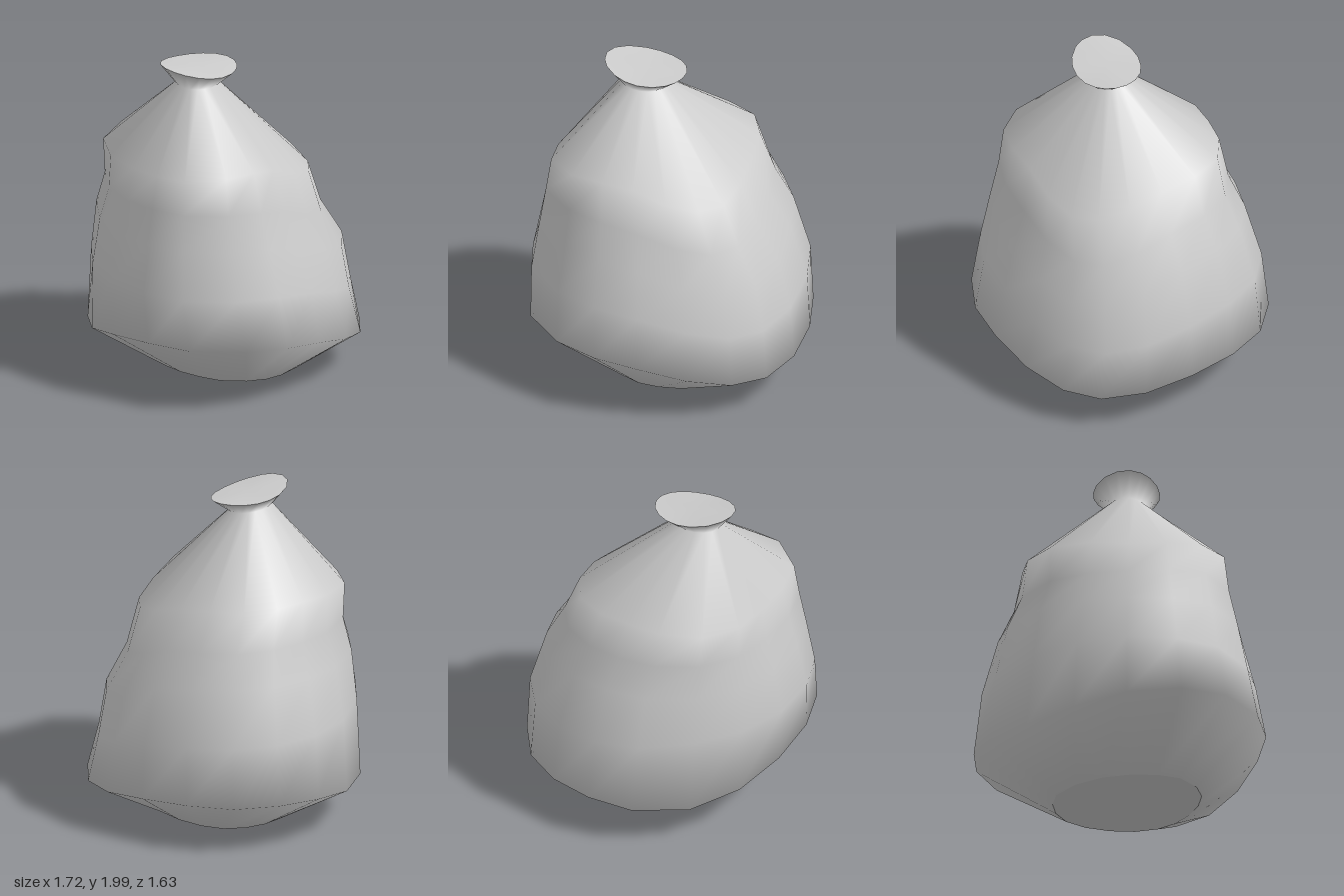
import * as THREE from 'three';

// Irregular outline shared by the body rings, clockwise seen from above, as [x, z]
const OUTLINE = [
  [-0.12, -0.81], [0.18, -0.82], [0.44, -0.74], [0.62, -0.58], [0.76, -0.34], [0.84, -0.05],
  [0.85, 0.22], [0.76, 0.48], [0.54, 0.73], [0.27, 0.815], [-0.05, 0.81], [-0.35, 0.7],
  [-0.6, 0.5], [-0.8, 0.22], [-0.855, -0.05], [-0.81, -0.32], [-0.66, -0.56], [-0.42, -0.72],
].map(([x, z]) => [x / 0.853, z / 0.818]);
const N = OUTLINE.length;

// Directions of the sagging corners
const BACK_LEFT = -0.9, LEFT = -0.4, FRONT_LEFT = 0.8, FRONT_RIGHT = 2.4;

// Cross-sections from the bottom up: height, x and z ranges, tilt along x and z,
// lift of the two sides, squareness, and bulges as [direction, outward, upward]
const RINGS = [
  { y: 0.035, x: [-0.37, 0.495], z: [-0.41, 0.32], tilt: [0.02, 0.018],
    bulges: [[FRONT_RIGHT, 0.14, -0.015]] },
  { y: 0.365, x: [-0.85, 0.852], z: [-0.815, 0.785], tilt: [0.025, 0.045],
    bulges: [[BACK_LEFT, 0, -0.12], [FRONT_RIGHT, 0.03, -0.12], [FRONT_LEFT, 0.025, 0]] },
  { y: 0.7, x: [-0.81, 0.8], z: [-0.805, 0.815], tilt: [0, 0.03],
    bulges: [[BACK_LEFT, -0.04, -0.17]] },
  { y: 1.0, x: [-0.71, 0.71], z: [-0.695, 0.745], tilt: [-0.03, 0], square: 0.02,
    bulges: [[BACK_LEFT, 0.02, -0.2], [FRONT_RIGHT, 0.045, 0], [FRONT_LEFT, 0.02, 0.04]] },
  { y: 1.2, x: [-0.62, 0.635], z: [-0.575, 0.69], tilt: [-0.02, 0], square: 0.05,
    bulges: [[BACK_LEFT, -0.03, -0.18], [FRONT_RIGHT, 0.04, 0], [FRONT_LEFT, 0.03, 0.05]] },
  { y: 1.42, x: [-0.57, 0.6], z: [-0.46, 0.65], tilt: [0, -0.015], lift: 0.035, square: 0.1,
    bulges: [[BACK_LEFT, -0.02, -0.16], [LEFT, -0.05, -0.02], [FRONT_RIGHT, 0.08, 0], [FRONT_LEFT, 0, 0.02]] },
  { y: 1.855, x: [-0.08, 0.14], z: [0.05, 0.33], tilt: [-0.01, 0.005], round: true },
  { y: 1.97, x: [-0.172, 0.225], z: [-0.075, 0.43], tilt: [-0.015, 0.025], lift: -0.025, round: true },
];

function ringPoints({ y, x, z, tilt, lift = 0, square = 0, bulges = [], round = false }) {
  return OUTLINE.map(([u0, v0]) => {
    const a = Math.atan2(v0, u0);
    const [u, v] = round ? [Math.cos(a), Math.sin(a)] : [u0, v0];
    let k = 1 + square * Math.sin(2 * a) ** 2;
    let h = y + tilt[0] * u + tilt[1] * v + lift * Math.cos(a) ** 2;
    for (const [direction, out, up] of bulges) {
      const w = Math.max(0, Math.cos(a - direction)) ** 4;
      k += out * w;
      h += up * w;
    }
    return [
      (x[0] + x[1]) / 2 + (x[1] - x[0]) / 2 * u * k,
      h,
      (z[0] + z[1]) / 2 + (z[1] - z[0]) / 2 * v * k,
    ];
  });
}

function makeMesh(name, points, index, material) {
  const geometry = new THREE.BufferGeometry();
  geometry.setAttribute('position', new THREE.Float32BufferAttribute(points.flat(), 3));
  geometry.setIndex(index);
  geometry.computeVertexNormals();
  const mesh = new THREE.Mesh(geometry, material);
  mesh.name = name;
  return mesh;
}

// Fan that closes a ring
function makeCap(name, ring, up, material) {
  const centre = [0, 1, 2].map((i) => ring.reduce((sum, p) => sum + p[i], 0) / N);
  const index = [];
  for (let j = 0; j < N; j++) {
    const k = (j + 1) % N;
    index.push(N, up ? k : j, up ? j : k);
  }
  return makeMesh(name, [...ring, centre], index, material);
}

export function createModel() {
  const group = new THREE.Group();
  group.name = 'tiedSack';
  const material = new THREE.MeshStandardMaterial({ color: 0xcccccc });
  const rings = RINGS.map(ringPoints);

  // Sack skin from base to flared mouth
  const index = [];
  for (let i = 0; i < rings.length - 1; i++) {
    for (let j = 0; j < N; j++) {
      const a = i * N + j, b = i * N + (j + 1) % N;
      index.push(b, a, a + N, b, a + N, b + N);
    }
  }
  group.add(makeMesh('sackBody', rings.flat(), index, material));

  // Flat closures under the sack and over its mouth
  group.add(makeCap('base', rings[0], false, material));
  group.add(makeCap('mouth', rings[rings.length - 1], true, material));
  return group;
}
